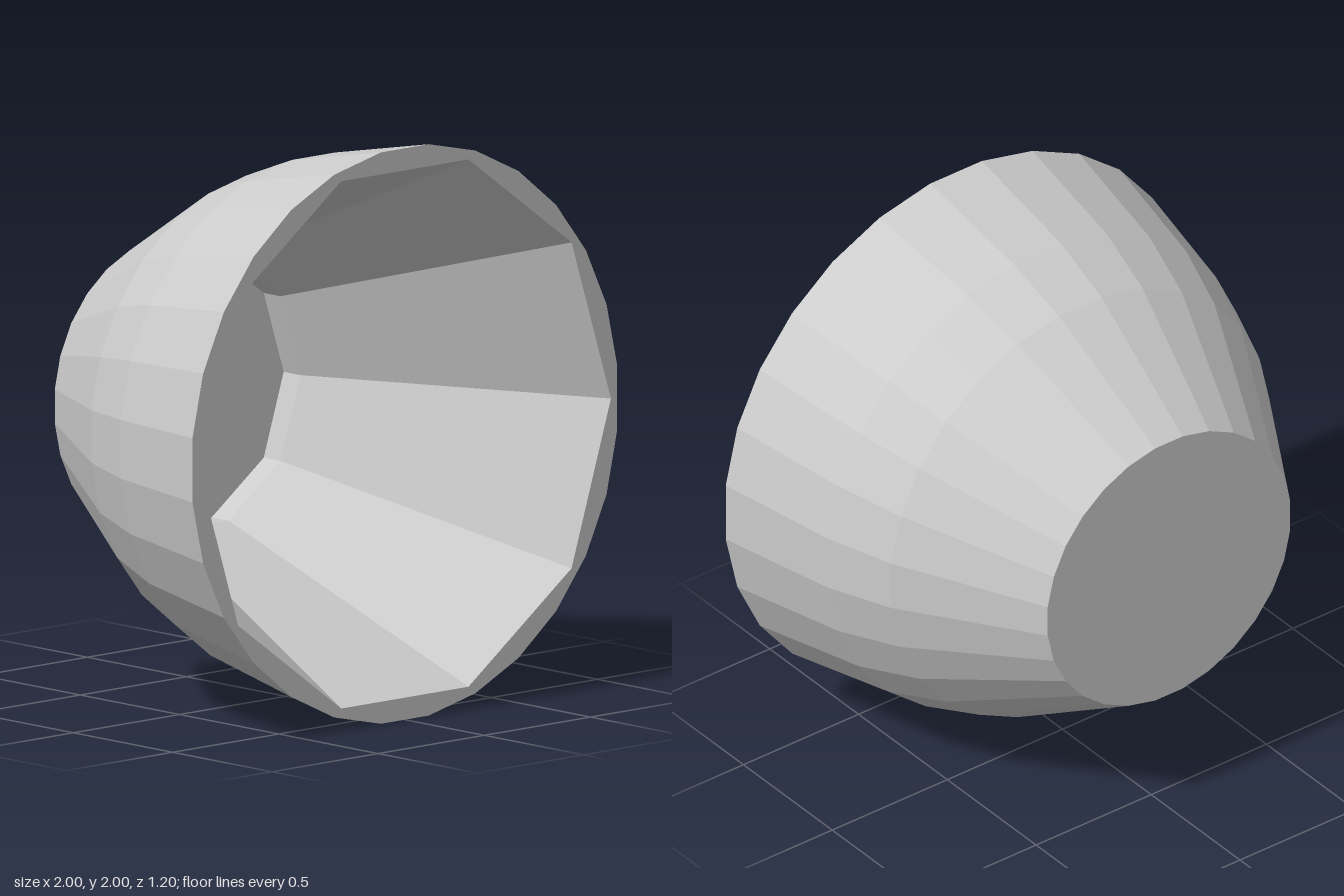
import * as THREE from 'three';

const OUTER_SIDES = 28;
const INNER_SIDES = 10;
const OUTER_R = 1.006;
const INNER_R = 0.97;
const FRONT_Z = 0.6;

// Regular polygon points around the origin
function polygon(radius, sides, offset) {
  return Array.from({ length: sides }, (_, i) => {
    const a = offset + (i / sides) * Math.PI * 2;
    return new THREE.Vector2(Math.cos(a) * radius, Math.sin(a) * radius);
  });
}

// Faceted surface turned around the z axis from [radius, z] pairs
function turned(profile, sides, start) {
  const points = profile.map(([r, z]) => new THREE.Vector2(r, z));
  return new THREE.LatheGeometry(points, sides, start).rotateX(Math.PI / 2);
}

export function createModel() {
  const group = new THREE.Group();
  group.name = 'cup';
  const material = new THREE.MeshStandardMaterial({ color: 0xcccccc, flatShading: true });

  function add(name, geometry) {
    const mesh = new THREE.Mesh(geometry, material);
    mesh.name = name;
    mesh.position.y = 1;
    group.add(mesh);
  }

  // Flat back and bulging outer wall
  add('outerShell', turned(
    [[0, -0.6], [0.53, -0.6], [0.826, -0.1], [0.915, 0.14], [OUTER_R, FRONT_Z]],
    OUTER_SIDES, Math.PI / OUTER_SIDES));

  // Ten-sided tapering cavity with a short straight step at its floor
  add('innerCavity', turned(
    [[INNER_R, FRONT_Z], [0.49, -0.45], [0.49, -0.535], [0, -0.535]],
    INNER_SIDES, Math.PI / 2));

  // Flat front rim between the round outside and the ten-sided opening
  const rim = new THREE.Shape(polygon(OUTER_R, OUTER_SIDES, Math.PI / OUTER_SIDES));
  rim.holes.push(new THREE.Path(polygon(INNER_R, INNER_SIDES, 0)));
  add('frontRim', new THREE.ShapeGeometry(rim).translate(0, 0, FRONT_Z));

  return group;
}
